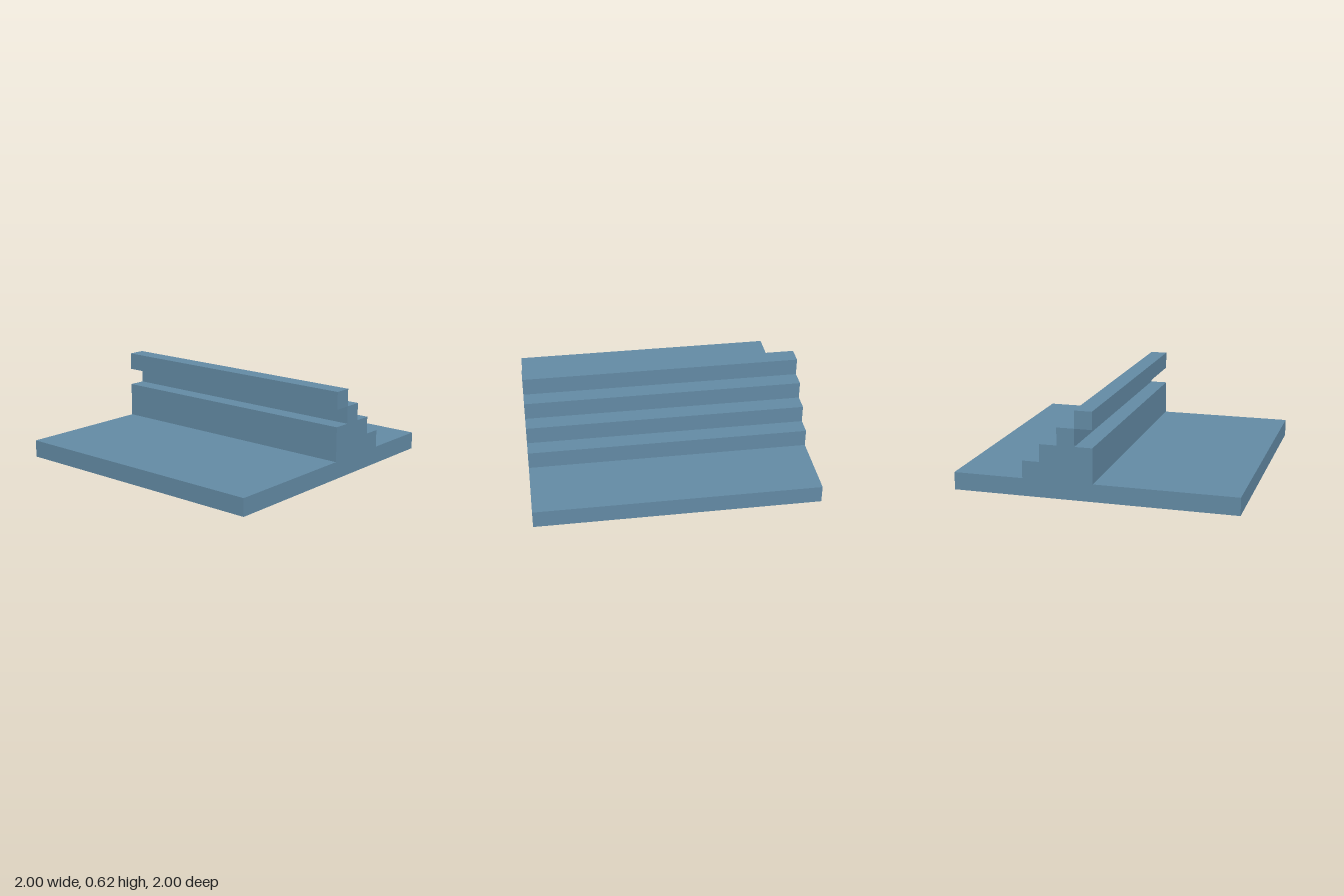
import * as THREE from 'three';

const S = 0.125; // step unit
const WIDTH = 2;

// Extrudes a side profile, given as [steps toward the back, steps up], across the width
function extrudeProfile(name, points, material) {
  const shape = new THREE.Shape(points.map(([u, v]) => new THREE.Vector2(u * S, v * S)));
  const geometry = new THREE.ExtrudeGeometry(shape, { depth: WIDTH, bevelEnabled: false });
  geometry.translate(0, 0, -WIDTH / 2);
  geometry.rotateY(Math.PI / 2);
  const mesh = new THREE.Mesh(geometry, material);
  mesh.name = name;
  return mesh;
}

export function createModel() {
  const group = new THREE.Group();
  group.name = 'steppedBlock';
  const blue = new THREE.MeshStandardMaterial({ color: 0x6289a3 });
  blue.name = 'slate blue';

  // Base slab with a straight front riser and steps descending to the back
  group.add(extrudeProfile('slabAndSteps', [
    [-8, 0], [8, 0], [8, 1], [4, 1], [4, 2], [3, 2], [3, 3], [2, 3],
    [2, 4], [1, 4], [1, 3], [0, 3], [0, 1], [-8, 1],
  ], blue));

  // Top step, overhanging the front ledge
  group.add(extrudeProfile('topStep', [[0, 4], [1, 4], [1, 5], [0, 5]], blue));

  return group;
}
